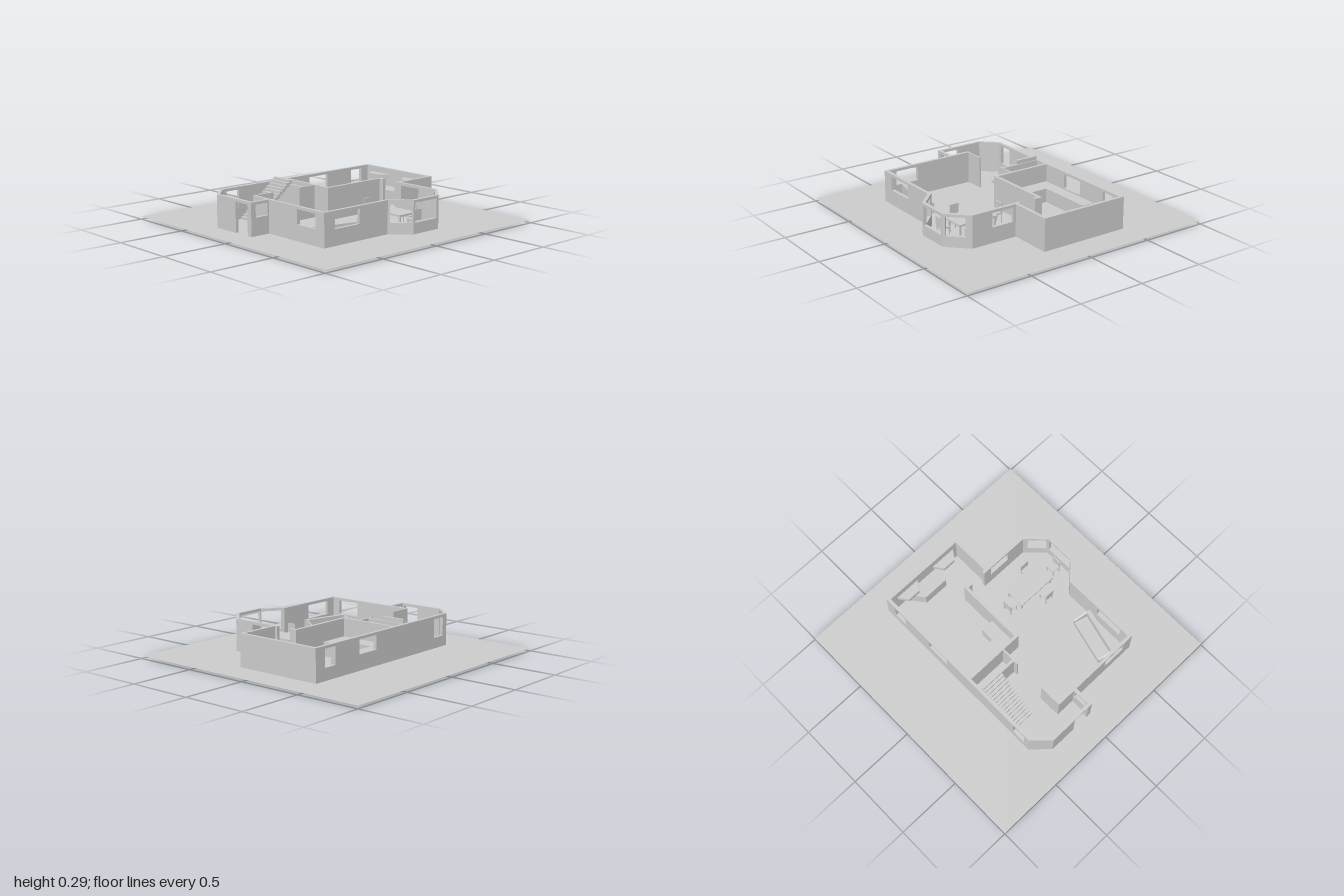
import * as THREE from 'three';

const FLOOR = 0.02, TOP = 0.26, T = 0.024;
const grey = new THREE.MeshStandardMaterial({ color: 0xcccccc, flatShading: true, side: THREE.DoubleSide });

function add(parent, name, geometry) {
  const mesh = new THREE.Mesh(geometry, grey);
  mesh.name = name;
  parent.add(mesh);
  return mesh;
}

// Box given by its limits on each axis
function box(parent, name, x0, x1, y0, y1, z0, z1) {
  const mesh = add(parent, name, new THREE.BoxGeometry(x1 - x0, y1 - y0, z1 - z0));
  mesh.position.set((x0 + x1) / 2, (y0 + y1) / 2, (z0 + z1) / 2);
  return mesh;
}

// Plan polygon of [x, z] corners raised from y0 to y1
function prism(parent, name, corners, y0, y1) {
  const shape = new THREE.Shape(corners.map(([x, z]) => new THREE.Vector2(x, -z)));
  const geometry = new THREE.ExtrudeGeometry(shape, { depth: y1 - y0, bevelEnabled: false });
  geometry.rotateX(-Math.PI / 2).translate(0, y0, 0);
  return add(parent, name, geometry);
}

// Outer wall corners [x, z], each with the openings [from, to, sill, head] of the wall that starts there
const OUTLINE = [
  { p: [-0.465, -0.78] },
  { p: [0.225, -0.78] },
  { p: [0.225, -0.455], holes: [[0.02, 0.195, 0.135, 0.24]] },
  { p: [0.585, -0.455], holes: [[0.045, 0.185, 0.1, 0.24]] },
  { p: [0.73, -0.31], holes: [[0.02, 0.235, 0.1, 0.24]] },
  { p: [0.73, -0.06], holes: [[0.015, 0.16, 0.1, 0.24]] },
  { p: [0.605, 0.065], holes: [[0.265, 0.49, 0.135, 0.24]] },
  { p: [0.605, 0.65], holes: [[0.085, 0.27, 0.135, 0.24]] },
  { p: [0.04, 0.65], holes: [[0.01, 0.115, 0.15, 0.24]] },
  { p: [0.04, 0.805], holes: [[0.04, 0.17, FLOOR, 0.24]] },
  { p: [-0.34, 0.805] },
  { p: [-0.465, 0.685], holes: [[0.045, 0.155, 0.1, 0.24], [0.83, 1.015, 0.135, 0.24], [1.265, 1.375, 0.11, 0.24]] },
];

function outerWalls(parent) {
  const n = OUTLINE.length;
  const dirs = OUTLINE.map(({ p }, i) => {
    const q = OUTLINE[(i + 1) % n].p;
    return new THREE.Vector2(q[0] - p[0], q[1] - p[1]);
  });
  const mitre = (a, b) => T * Math.tan(Math.atan2(a.cross(b), a.dot(b)) / 2);

  OUTLINE.forEach(({ p, holes = [] }, i) => {
    const d = dirs[i], length = d.length();
    const shape = new THREE.Shape();
    shape.moveTo(0, FLOOR);
    for (const [a, b, sill, head] of holes) {
      if (sill > FLOOR) {
        const hole = new THREE.Path();
        hole.moveTo(a, sill).lineTo(a, head).lineTo(b, head).lineTo(b, sill).closePath();
        shape.holes.push(hole);
      } else {
        shape.lineTo(a, FLOOR).lineTo(a, head).lineTo(b, head).lineTo(b, FLOOR);
      }
    }
    shape.lineTo(length, FLOOR).lineTo(length, TOP).lineTo(0, TOP).closePath();

    // Shift the inner ends so neighbouring walls meet in a mitre
    const geometry = new THREE.ExtrudeGeometry(shape, { depth: T, bevelEnabled: false });
    const start = mitre(dirs[(i + n - 1) % n], d), end = mitre(d, dirs[(i + 1) % n]);
    const pos = geometry.attributes.position;
    for (let k = 0; k < pos.count; k++) {
      if (pos.getZ(k) < T / 2) continue;
      if (pos.getX(k) < 1e-5) pos.setX(k, start);
      else if (pos.getX(k) > length - 1e-5) pos.setX(k, length - end);
    }
    geometry.computeVertexNormals();
    const wall = add(parent, 'outerWall', geometry);
    wall.position.set(p[0], 0, p[1]);
    wall.rotation.y = Math.atan2(-d.y, d.x);
  });
}

function innerWalls(parent) {
  const wall = (x0, x1, z0, z1) => box(parent, 'innerWall', x0, x1, FLOOR, TOP, z0, z1);
  wall(0, T, -0.455, 0.086);
  wall(T, 0.06, -0.455, -0.431);
  wall(0.18, 0.225, -0.455, -0.431);
  wall(-0.441, 0, 0.064, 0.086);
  wall(-0.133, -0.121, 0.086, 0.23);
  wall(-0.133, -0.121, 0.475, 0.65);
  wall(-0.121, 0.04, 0.626, 0.65);
  wall(-0.441, -0.133, 0.18, 0.2);
}

function stairs(parent) {
  const steps = 15, run = 0.022, rise = 0.27 / steps;
  for (let i = 0; i < steps; i++) {
    const z = 0.515 - i * run, y = FLOOR + (i + 1) * rise;
    box(parent, 'stairStep', -0.44, -0.26, Math.max(FLOOR, y - 1.6 * rise), y, z - run, z);
  }
}

// Dining chair with its back on the local -z side
function chair(parent, x, z, y, turn) {
  const group = new THREE.Group();
  group.name = 'chair';
  box(group, 'chairSeat', -0.036, 0.036, 0.072, 0.082, -0.036, 0.036);
  box(group, 'chairBack', -0.036, 0.036, 0.082, 0.152, -0.036, -0.028);
  for (const sx of [-1, 1]) for (const sz of [-1, 1]) {
    const leg = box(group, 'chairLeg', -0.003, 0.003, 0, 0.072, -0.003, 0.003);
    leg.position.x = sx * 0.032;
    leg.position.z = sz * 0.03;
  }
  group.position.set(x, y, z);
  group.rotation.y = turn;
  parent.add(group);
}

function diningSet(parent) {
  box(parent, 'tableTop', 0.24, 0.56, 0.106, 0.12, -0.265, -0.1);
  for (const x of [0.255, 0.545]) for (const z of [-0.25, -0.115])
    box(parent, 'tableLeg', x - 0.006, x + 0.006, FLOOR, 0.106, z - 0.006, z + 0.006);
  chair(parent, 0.478, -0.285, 0, 0);
  chair(parent, 0.44, -0.048, FLOOR, Math.PI);
  chair(parent, 0.192, -0.168, FLOOR, Math.PI / 2);
  chair(parent, 0.632, -0.168, FLOOR, -Math.PI / 2);
}

function sofa(parent) {
  const group = new THREE.Group();
  group.name = 'sofa';
  box(group, 'sofaSeat', -0.067, 0.04, 0, 0.05, -0.168, 0.168);
  box(group, 'sofaBack', 0.036, 0.067, 0, 0.118, -0.18, 0.18);
  // Arms slope down from the back to the front
  const side = new THREE.Shape([[-0.067, 0], [0.04, 0], [0.04, 0.115], [-0.067, 0.075]].map(([x, y]) => new THREE.Vector2(x, y)));
  for (const z of [-0.18, 0.166]) {
    const arm = add(group, 'sofaArm', new THREE.ExtrudeGeometry(side, { depth: 0.014, bevelEnabled: false }));
    arm.position.z = z;
  }
  group.position.set(0.461, FLOOR, 0.428);
  group.rotation.y = -0.252;
  parent.add(group);
}

function kitchen(parent) {
  prism(parent, 'kitchenCounter', [
    [-0.44, -0.485], [-0.345, -0.485], [-0.345, -0.06], [-0.1, -0.06],
    [-0.1, -0.165], [0, -0.165], [0, 0.064], [-0.44, 0.064],
  ], FLOOR, 0.125);
  // Faceted unit on the back wall with two raised shelves beside it
  prism(parent, 'lowUnit', [[-0.31, -0.755], [0.07, -0.755], [-0.02, -0.635], [-0.22, -0.635]], FLOOR, 0.125);
  for (const x of [-0.29, 0.06])
    prism(parent, 'wallCabinet', [[x - 0.1, -0.745], [x + 0.1, -0.745], [x + 0.05, -0.675], [x - 0.05, -0.675]], 0.185, 0.22);
}

export function createModel() {
  const model = new THREE.Group();
  model.name = 'housePlan';
  const ground = add(model, 'groundPlane', new THREE.PlaneGeometry(2, 2).rotateX(-Math.PI / 2));
  ground.position.y = FLOOR;
  for (const build of [outerWalls, innerWalls, stairs, kitchen, diningSet, sofa]) {
    const group = new THREE.Group();
    group.name = build.name;
    build(group);
    model.add(group);
  }
  return model;
}
